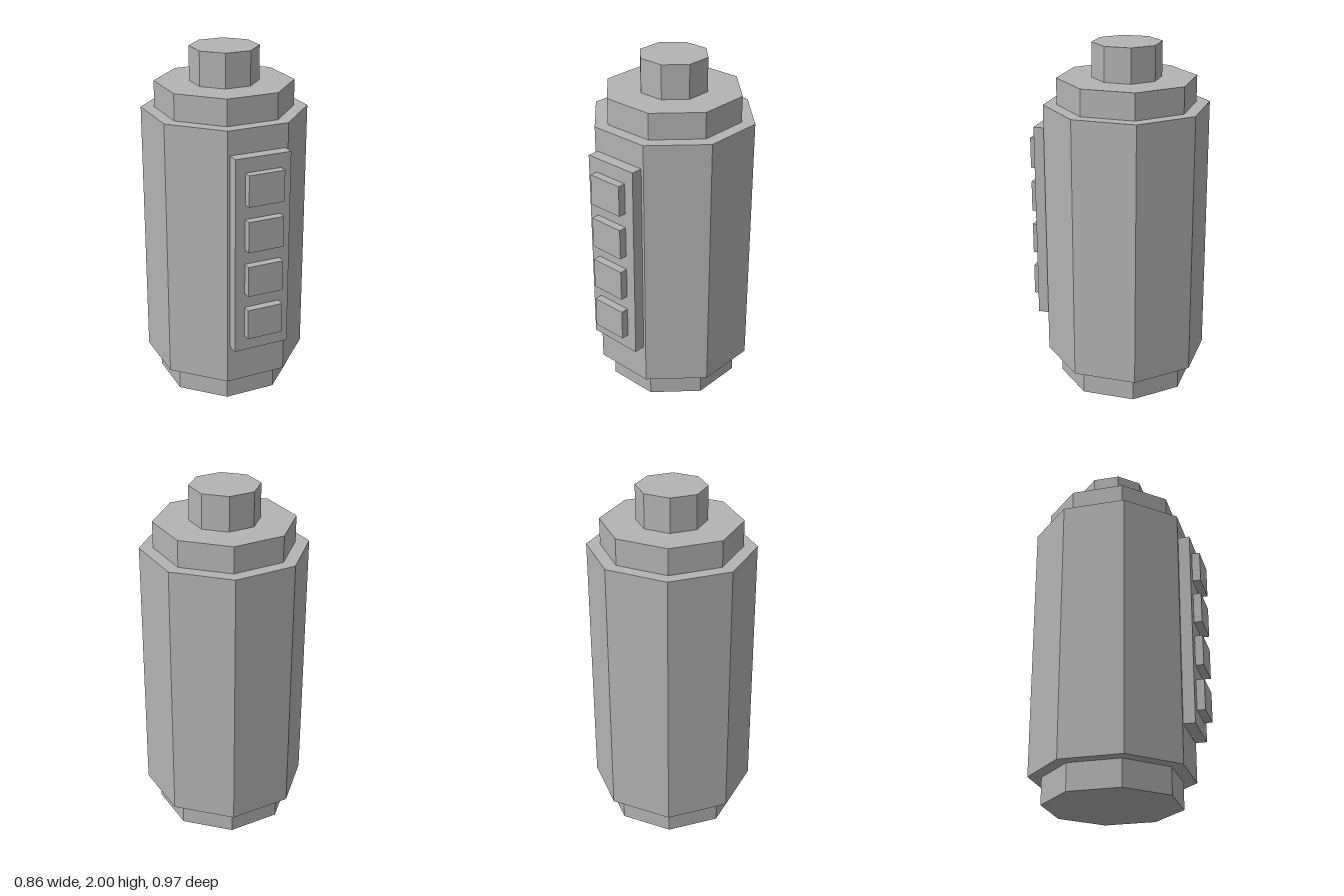
import * as THREE from 'three';

const AXIS_Z = -0.056; // the octagonal column sits behind the panel

export function createModel() {
  const group = new THREE.Group();
  const grey = new THREE.MeshStandardMaterial({ color: 0xb3b3b3 });
  grey.name = 'grey';
  grey.flatShading = true;

  function add(name, geometry, x, y, z) {
    const mesh = new THREE.Mesh(geometry, grey);
    mesh.name = name;
    mesh.position.set(x, y, z);
    group.add(mesh);
  }

  // Upright octagonal prism with a flat side to the front
  function octagon(name, apothem, y0, y1) {
    const r = apothem / Math.cos(Math.PI / 8);
    const geometry = new THREE.CylinderGeometry(r, r, y1 - y0, 8, 1, false, Math.PI / 8);
    add(name, geometry, 0, (y0 + y1) / 2, AXIS_Z);
  }

  // Stacked column
  octagon('base', 0.361, 0, 0.153);
  octagon('body', 0.431, 0.153, 1.657);
  octagon('shoulder', 0.361, 1.657, 1.806);
  octagon('topKnob', 0.18, 1.806, 2);

  // Front panel with four buttons
  add('panel', new THREE.BoxGeometry(0.326, 1.14, 0.066), 0, 0.95, 0.408);
  const button = new THREE.BoxGeometry(0.21, 0.178, 0.046);
  for (let i = 0; i < 4; i++) {
    add('button' + (i + 1), button, 0, 0.56 + i * 0.263, 0.464);
  }

  return group;
}
